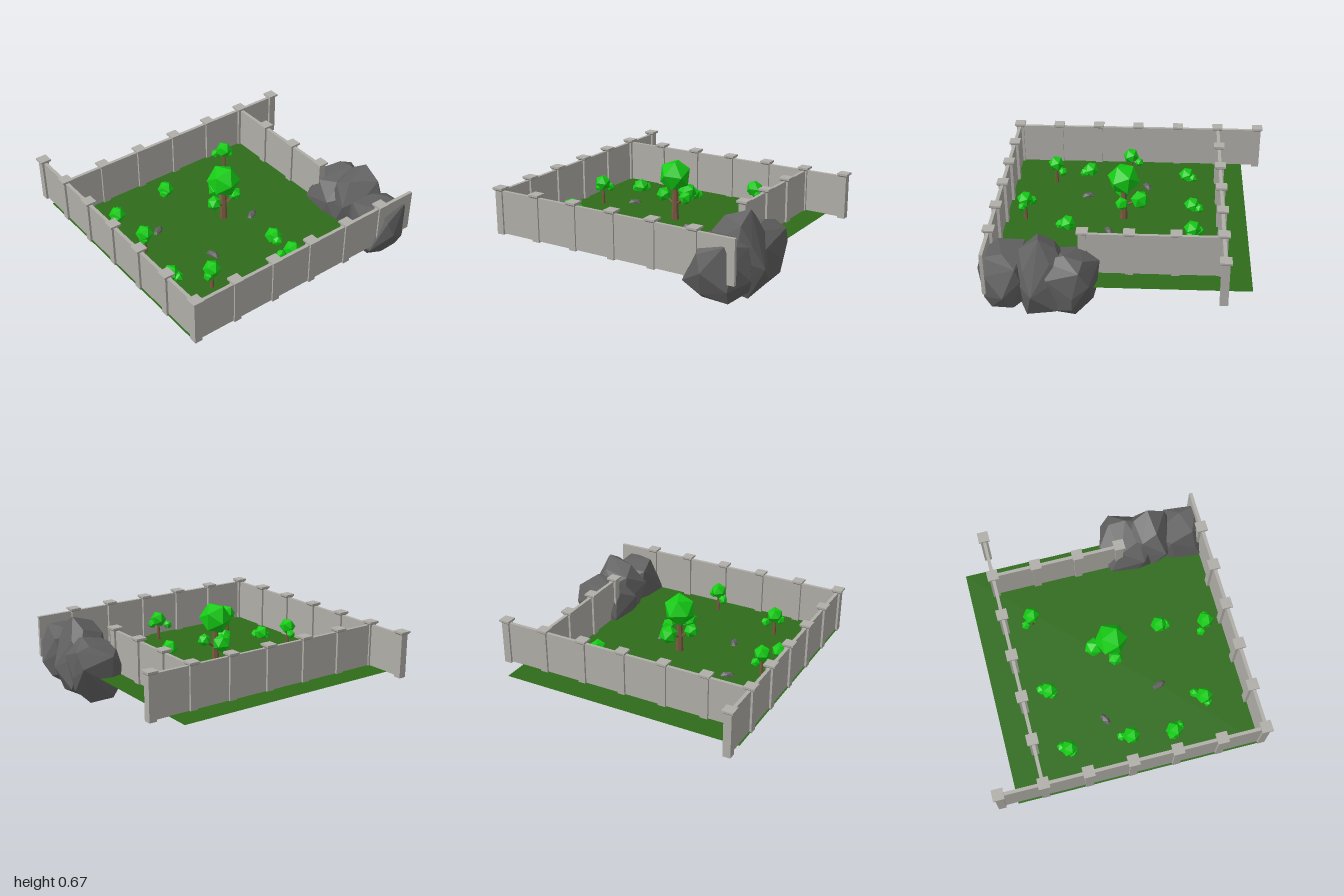
import * as THREE from 'three';
import { ConvexGeometry } from 'three/addons/geometries/ConvexGeometry.js';

const GROUND_Y = 0.225;
const mat = (color, side = THREE.FrontSide) =>
  new THREE.MeshStandardMaterial({ color, side, flatShading: true });
const stone = mat(0xb0aea8), grass = mat(0x2f6b1a, THREE.DoubleSide);
const leaf = mat(0x14cc14), bark = mat(0x7a5a40), rock = mat(0x626262);

function add(parent, name, geometry, material, x = 0, y = 0, z = 0) {
  const mesh = new THREE.Mesh(geometry, material);
  mesh.name = name;
  mesh.position.set(x, y, z);
  parent.add(mesh);
  return mesh;
}

function group(parent, name, x = 0, y = 0, z = 0) {
  const g = new THREE.Group();
  g.name = name;
  g.position.set(x, y, z);
  parent.add(g);
  return g;
}

// Square post with a flared, flat-topped cap
const shaftGeo = new THREE.BoxGeometry(0.055, 0.325, 0.055);
const flareGeo = new THREE.CylinderGeometry(0.04 * Math.SQRT2, 0.028 * Math.SQRT2, 0.012, 4).rotateY(Math.PI / 4);
const slabGeo = new THREE.BoxGeometry(0.08, 0.014, 0.08);
function pillar(parent, x, z) {
  const g = group(parent, 'pillar', x, 0, z);
  add(g, 'pillarShaft', shaftGeo, stone, 0, 0.3775, 0);
  add(g, 'pillarFlare', flareGeo, stone, 0, 0.537, 0);
  add(g, 'pillarCap', slabGeo, stone, 0, 0.549, 0);
}

// Straight wall panel between two points
function wall(parent, name, x0, z0, x1, z1) {
  const w = Math.abs(x1 - x0) || 0.024, d = Math.abs(z1 - z0) || 0.024;
  add(parent, name, new THREE.BoxGeometry(w, 0.31, d), stone, (x0 + x1) / 2, 0.377, (z0 + z1) / 2);
}

// Faceted leaf ball, turned a little differently at each place
function leafBall(parent, x, y, z, radius) {
  const ball = add(parent, 'leafBall', new THREE.IcosahedronGeometry(radius, 0), leaf, x, y, z);
  ball.rotation.set(0.4 + x * 9, z * 11, 0.3 + z * 4);
}

// Small tree with a main leaf ball and two lesser ones
function smallTree(parent, x, z, dx, dz) {
  const g = group(parent, 'smallTree', x, GROUND_Y, z);
  add(g, 'trunk', new THREE.CylinderGeometry(0.009, 0.014, 0.15, 6), bark, 0, 0.065, 0);
  leafBall(g, 0, 0.165, 0, 0.062);
  leafBall(g, dx, 0.12, dz, 0.035);
  leafBall(g, -dx * 0.8, 0.13, -dz * 0.3, 0.035);
}

function bush(parent, x, z, dx, dz) {
  const g = group(parent, 'bush', x, GROUND_Y, z);
  leafBall(g, 0, 0.03, 0, 0.062);
  leafBall(g, dx, 0.015, dz, 0.04);
  leafBall(g, -dx, 0.015, -dz * 0.4, 0.04);
}

function mainTree(parent) {
  const g = group(parent, 'mainTree', -0.065, GROUND_Y, 0.05);
  add(g, 'trunk', new THREE.CylinderGeometry(0.017, 0.028, 0.28, 6), bark, 0, 0.13, 0);
  leafBall(g, 0, 0.335, 0, 0.12);
  const sideCrown = (x, z, radius) => {
    const path = new THREE.LineCurve3(new THREE.Vector3(0, 0.11, 0), new THREE.Vector3(x, 0.18, z));
    add(g, 'branch', new THREE.TubeGeometry(path, 1, 0.009, 5), bark);
    leafBall(g, x, 0.18, z, radius);
  };
  sideCrown(0.03, -0.12, 0.07);
  sideCrown(0.095, 0.01, 0.05);
  sideCrown(-0.09, 0.01, 0.055);
}

function looseStone(parent, x, z, turn) {
  const s = add(parent, 'looseStone', new THREE.IcosahedronGeometry(1, 0), rock, x, GROUND_Y, z);
  s.scale.set(0.055, 0.03, 0.028);
  s.rotation.y = turn;
}

function seeded(seed) {
  return () => (seed = (seed * 16807) % 2147483647) / 2147483647;
}

// Boulder: hull of jittered points spiralling over a blocky ball that fills the box min..max
function boulder(parent, seed, min, max) {
  const random = seeded(seed), count = 24;
  const blocky = (v) => Math.sign(v) * Math.abs(v) ** 0.8;
  const points = Array.from({ length: count }, (_, i) => {
    const h = 1 - (2 * i + 1) / count, r = Math.sqrt(1 - h * h), a = i * 2.4 + random() * 0.6;
    return new THREE.Vector3(blocky(r * Math.cos(a)), blocky(h), blocky(r * Math.sin(a)))
      .multiplyScalar(0.85 + 0.3 * random());
  });
  const box = new THREE.Box3().setFromPoints(points);
  const size = box.getSize(new THREE.Vector3());
  const span = max.clone().sub(min);
  points.forEach((p) => p.sub(box.min).divide(size).multiply(span).add(min));
  add(parent, 'boulder', new ConvexGeometry(points), rock);
}

export function createModel() {
  const model = new THREE.Group();
  model.name = 'walledGarden';

  // Lawn
  add(model, 'lawn', new THREE.PlaneGeometry(1.79, 1.775).rotateX(-Math.PI / 2), grass, -0.075, GROUND_Y, 0.035);

  // Walls
  const walls = group(model, 'walls');
  wall(walls, 'sideWall', -0.945, -0.965, -0.945, 0.92);
  wall(walls, 'backWall', -0.945, -0.655, 0.94, -0.655);
  wall(walls, 'frontWall', -0.945, 0.925, 0.925, 0.925);
  wall(walls, 'innerWall', 0.635, -0.655, 0.635, 0.3);

  // Pillars, evenly spaced along each wall
  for (let i = 0; i < 7; i++) {
    const x = -0.945 + i * 0.315, z = -0.965 + i * 0.3145;
    pillar(walls, -0.945, z);
    if (i > 0) pillar(walls, x, -0.655);
    if (i > 0 && i < 6) pillar(walls, x, 0.92);
    if (i > 1 && i < 5) pillar(walls, 0.635, z);
  }

  // Trees
  mainTree(model);
  smallTree(model, -0.73, 0.025, 0.02, -0.065);
  smallTree(model, 0.32, -0.45, -0.045, -0.05);
  smallTree(model, -0.58, 0.6, 0.05, -0.055);
  smallTree(model, -0.03, 0.77, -0.06, -0.045);

  // Bushes
  bush(model, -0.68, -0.415, 0.025, -0.045);
  bush(model, -0.225, -0.455, 0.025, -0.05);
  bush(model, -0.735, 0.345, 0.025, 0.045);
  bush(model, 0.07, 0.455, -0.005, 0.05);

  // Loose stones
  looseStone(model, -0.53, -0.11, 0.5);
  looseStone(model, 0.12, 0.15, 0.5);
  looseStone(model, -0.375, 0.335, -1.3);

  // Rock outcrop of three overlapping boulders
  const outcrop = group(model, 'rockOutcrop');
  const v = (x, y, z) => new THREE.Vector3(x, y, z);
  boulder(outcrop, 11, v(0.55, 0.01, 0.17), v(0.96, 0.49, 0.6));
  boulder(outcrop, 29, v(0.55, 0, 0.38), v(0.97, 0.6, 0.76));
  boulder(outcrop, 47, v(0.55, 0.03, 0.62), v(0.97, 0.48, 1));

  return model;
}
